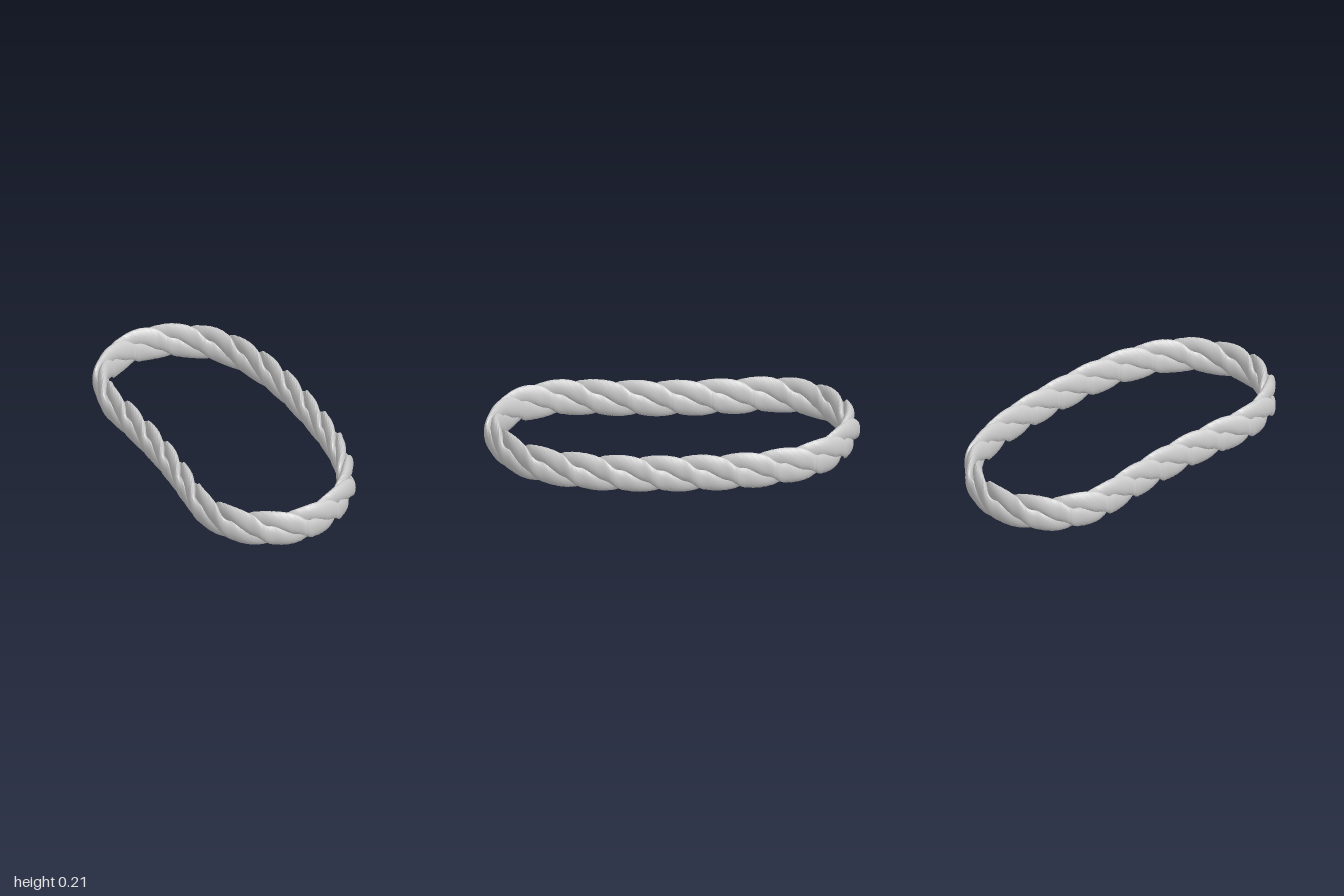
import * as THREE from 'three';
import { toCreasedNormals } from 'three/addons/utils/BufferGeometryUtils.js';

const COUNT = 22;       // joints around the loop
const SPAN = 3;         // joints covered by one full turn of a strand
const STEPS = 20, SIDES = 14;
const HALF_THICK = 0.046, HALF_HEIGHT = 0.108, MID_Y = 0.109;

// Oval centreline: front -> left side (+x) -> back -> right side (-x)
function makePath() {
  const plusX = [[0.14, 0.875], [0.285, 0.755], [0.375, 0.57], [0.425, 0.35], [0.442, 0.12]];
  const minusX = [[-0.422, 0.11], [-0.436, 0.35], [-0.447, 0.57], [-0.375, 0.77], [-0.23, 0.89]];
  const flip = (list) => list.map(([x, z]) => [x, -z]).reverse();
  const pts = [[-0.05, 0.935], ...plusX, ...flip(plusX), [-0.05, -0.935], ...flip(minusX), ...minusX];
  const curve = new THREE.CatmullRomCurve3(pts.map(([x, z]) => new THREE.Vector3(x, 0, z)), true);
  curve.arcLengthDivisions = 600;
  return curve;
}

// Half a turn of a strand: a leaf-like lens section winding from turn t0 to t0 + 0.5
function leafGeometry(path, k, t0) {
  const positions = [], index = [];
  const addRing = (v, capped) => {
    const t = t0 + v * 0.5;
    const u = ((k + SPAN * t) / COUNT) % 1;
    const p = path.getPointAt(u), d = path.getTangentAt(u);
    const a = -2 * Math.PI * t, c = Math.cos(a), s = Math.sin(a);
    // blunt ends lift away from the core, more on the outer face than the inner
    const end = THREE.MathUtils.smoothstep(Math.abs(v - 0.5), 0.28, 0.5);
    const r = 0.5 + end * (c > 0 ? 0.3 : 0.2);
    const size = capped ? 0.01 : 1 - 0.2 * end;
    for (let j = 0; j < SIDES; j++) {
      const f = (j / SIDES) * 2 * Math.PI;
      const er = r + 0.48 * size * Math.cos(f), et = 0.6 * size * Math.sin(f);
      const out = (er * c - et * s) * HALF_THICK, up = (er * s + et * c) * HALF_HEIGHT;
      positions.push(p.x - d.z * out, MID_Y + up, p.z + d.x * out);
    }
  };
  addRing(0, true);
  for (let i = 0; i <= STEPS; i++) addRing(i / STEPS, false);
  addRing(1, true);
  for (let i = 0; i < STEPS + 2; i++) {
    for (let j = 0; j < SIDES; j++) {
      const a = i * SIDES + j, b = i * SIDES + (j + 1) % SIDES;
      index.push(a, a + SIDES, b, b, a + SIDES, b + SIDES);
    }
  }
  const g = new THREE.BufferGeometry();
  g.setAttribute('position', new THREE.Float32BufferAttribute(positions, 3));
  g.setIndex(index);
  return toCreasedNormals(g, 0.8);
}

export function createModel() {
  const model = new THREE.Group();
  model.name = 'twistedRopeLoop';
  const material = new THREE.MeshStandardMaterial({ color: 0xcccccc, side: THREE.DoubleSide });
  const path = makePath();
  for (let k = 0; k < COUNT; k++) {
    const strand = new THREE.Group();
    strand.name = `ropeStrand${k + 1}`;
    for (const [name, t0] of [['lowerLeaf', 0], ['upperLeaf', 0.5]]) {
      const leaf = new THREE.Mesh(leafGeometry(path, k, t0), material);
      leaf.name = name;
      strand.add(leaf);
    }
    model.add(strand);
  }
  return model;
}
